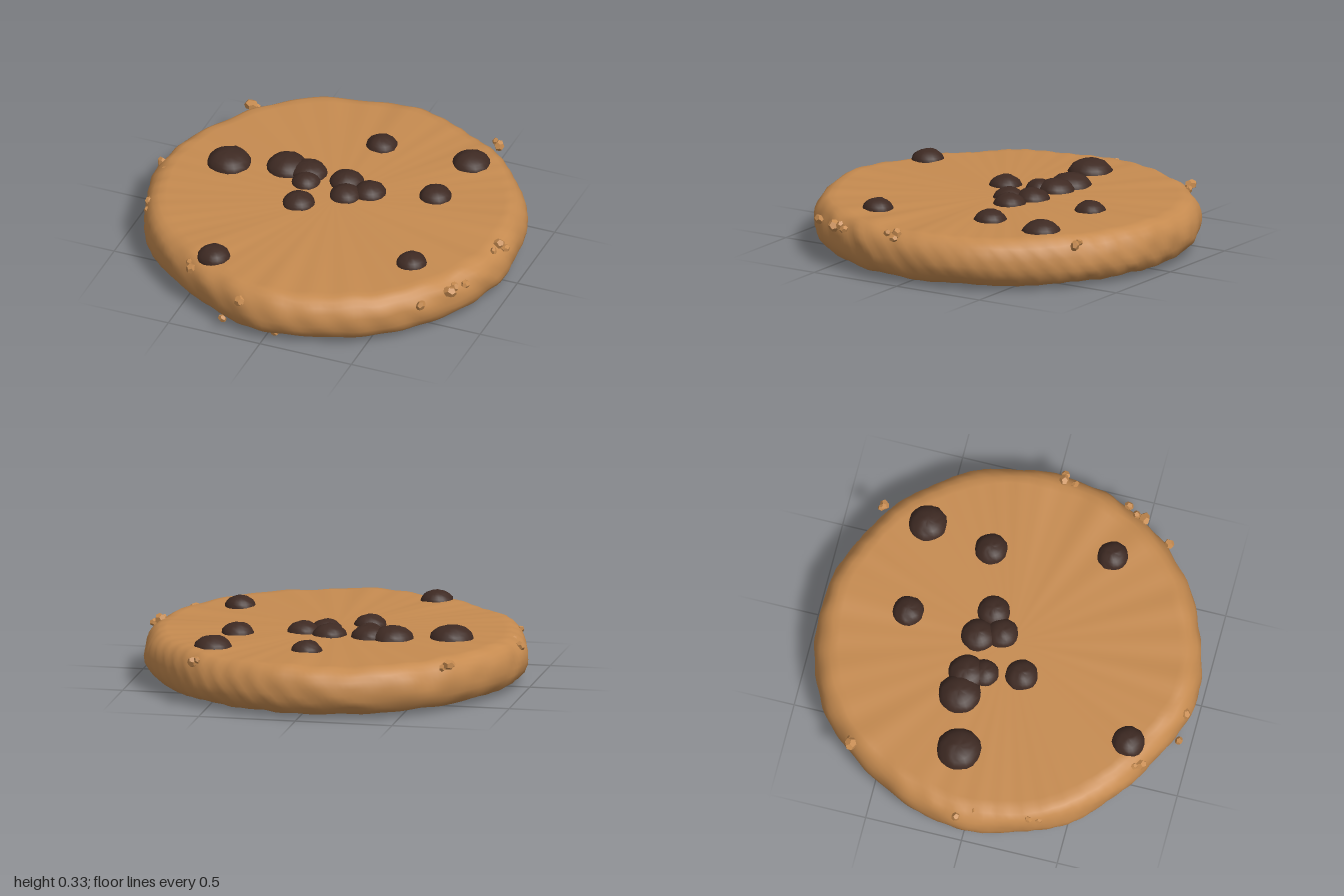
import * as THREE from 'three';
import { mergeVertices } from 'three/addons/utils/BufferGeometryUtils.js';

const dough = new THREE.MeshStandardMaterial({ color: 0xc68b50 });
dough.name = 'baked dough';
const chocolate = new THREE.MeshStandardMaterial({ color: 0x3e2a23 });
chocolate.name = 'dark chocolate';

// Smooth bumps from a few mixed waves, about -1 to 1
const bumps = (x, y, z) =>
  (Math.sin(7 * x + 5 * z + 3 * y) + Math.sin(11 * z - 6 * x + 13 * y + 1) +
   0.8 * Math.sin(19 * x + 17 * y - 9 * z + 2) + 0.6 * Math.sin(31 * z + 23 * x - 29 * y)) / 3.4;

// Move every vertex by a rule, then weld seams for smooth normals
function reshape(geometry, rule) {
  geometry.deleteAttribute('uv');
  geometry.deleteAttribute('normal');
  const p = geometry.attributes.position;
  const v = new THREE.Vector3();
  for (let i = 0; i < p.count; i++) {
    rule(v.fromBufferAttribute(p, i));
    p.setXYZ(i, v.x, v.y, v.z);
  }
  const welded = mergeVertices(geometry, 1e-4);
  welded.computeVertexNormals();
  return welded;
}

// Outline radius every 30 degrees, from +x towards +z
const RADII = [0.972, 0.962, 0.965, 0.978, 0.935, 0.96, 0.978, 0.965, 0.99, 0.985, 0.97, 0.97];
function outline(angle) {
  const n = RADII.length;
  const t = ((angle / (2 * Math.PI)) * n + n) % n;
  const i = Math.floor(t), f = t - i;
  const s = f * f * (3 - 2 * f);
  return RADII[i % n] * (1 - s) + RADII[(i + 1) % n] * s;
}

// Disc with rounded, lumpy sides
function makeDisc() {
  const profile = [
    [0, 0.03], [0.88, 0.03], [0.92, 0.036], [0.955, 0.052], [0.98, 0.078],
    [0.995, 0.11], [1, 0.145], [0.998, 0.18], [0.99, 0.212], [0.973, 0.24],
    [0.95, 0.262], [0.92, 0.277], [0.88, 0.28], [0, 0.28],
  ].map(([r, y]) => new THREE.Vector2(r, y));
  const geometry = reshape(new THREE.LatheGeometry(profile, 180), (v) => {
    const r = Math.hypot(v.x, v.z);
    if (r < 0.01) return;
    const scale = outline(Math.atan2(v.z, v.x)) + 0.012 * bumps(v.x * 1.6, v.y * 1.6, v.z * 1.6);
    v.y += 0.011 * bumps(v.x * 1.5, v.y, v.z * 1.5) * Math.min(1, r);
    v.x *= scale;
    v.z *= scale;
  });
  const disc = new THREE.Mesh(geometry, dough);
  disc.name = 'cookieDisc';
  return disc;
}

// x, z, radius
const CHIPS = [
  [0.04, -0.54, 0.082], [0.52, -0.56, 0.1], [0.465, -0.215, 0.085], [-0.62, -0.11, 0.115],
  [-0.33, -0.18, 0.11], [-0.21, -0.17, 0.098], [-0.19, -0.085, 0.075], [0, -0.165, 0.09],
  [0.145, -0.12, 0.085], [0.04, -0.05, 0.083], [-0.155, 0.1, 0.085], [0.58, 0.39, 0.08],
  [-0.37, 0.71, 0.085],
];

function makeChip([x, z, r], index) {
  const geometry = reshape(new THREE.SphereGeometry(1, 20, 14), (v) => {
    v.multiplyScalar(1 + 0.05 * bumps(v.x * 0.7 + index, v.y * 0.7, v.z * 0.7));
  });
  const chip = new THREE.Mesh(geometry, chocolate);
  chip.name = 'chocolateChip';
  chip.scale.set(r, 0.03 + r * 0.4, r);
  chip.position.set(x, 0.268, z);
  return chip;
}

// x, y, z, size
const CRUMBS = [
  [-0.72, 0.265, -0.65, 0.036], [-0.69, 0.25, -0.66, 0.022], [0.575, 0.25, -0.8, 0.03],
  [0.55, 0.265, -0.81, 0.02], [0.92, 0.265, 0.05, 0.034], [0.955, 0.25, 0.05, 0.025],
  [0.915, 0.26, 0.11, 0.022], [-0.96, 0.235, -0.04, 0.028], [-0.91, 0.25, 0.04, 0.02],
  [0.83, 0.225, 0.49, 0.038], [0.84, 0.235, 0.45, 0.026], [0.88, 0.23, 0.4, 0.025],
  [0.735, 0.215, 0.645, 0.03], [-0.13, 0.215, 0.95, 0.032], [-0.23, 0.075, 0.94, 0.025],
  [-0.46, 0.235, 0.8, 0.032], [-0.48, 0.25, 0.77, 0.02], [-0.885, 0.24, 0.32, 0.022],
  [0.04, 0.035, 0.9, 0.022], [-0.87, 0.22, 0.37, 0.022],
];

function makeCrumb([x, y, z, size], index) {
  const crumb = new THREE.Mesh(new THREE.DodecahedronGeometry(size, 0), dough);
  crumb.name = 'crumb';
  crumb.position.set(x, y, z);
  crumb.rotation.set(index * 1.3, index * 2.1, index * 0.7);
  crumb.scale.set(1, 0.75, 0.9);
  return crumb;
}

export function createModel() {
  const cookie = new THREE.Group();
  cookie.name = 'cookie';
  cookie.add(makeDisc());

  const chips = new THREE.Group();
  chips.name = 'chocolateChips';
  chips.add(...CHIPS.map(makeChip));

  const crumbs = new THREE.Group();
  crumbs.name = 'rimCrumbs';
  crumbs.add(...CRUMBS.map(makeCrumb));

  cookie.add(chips, crumbs);
  return cookie;
}
